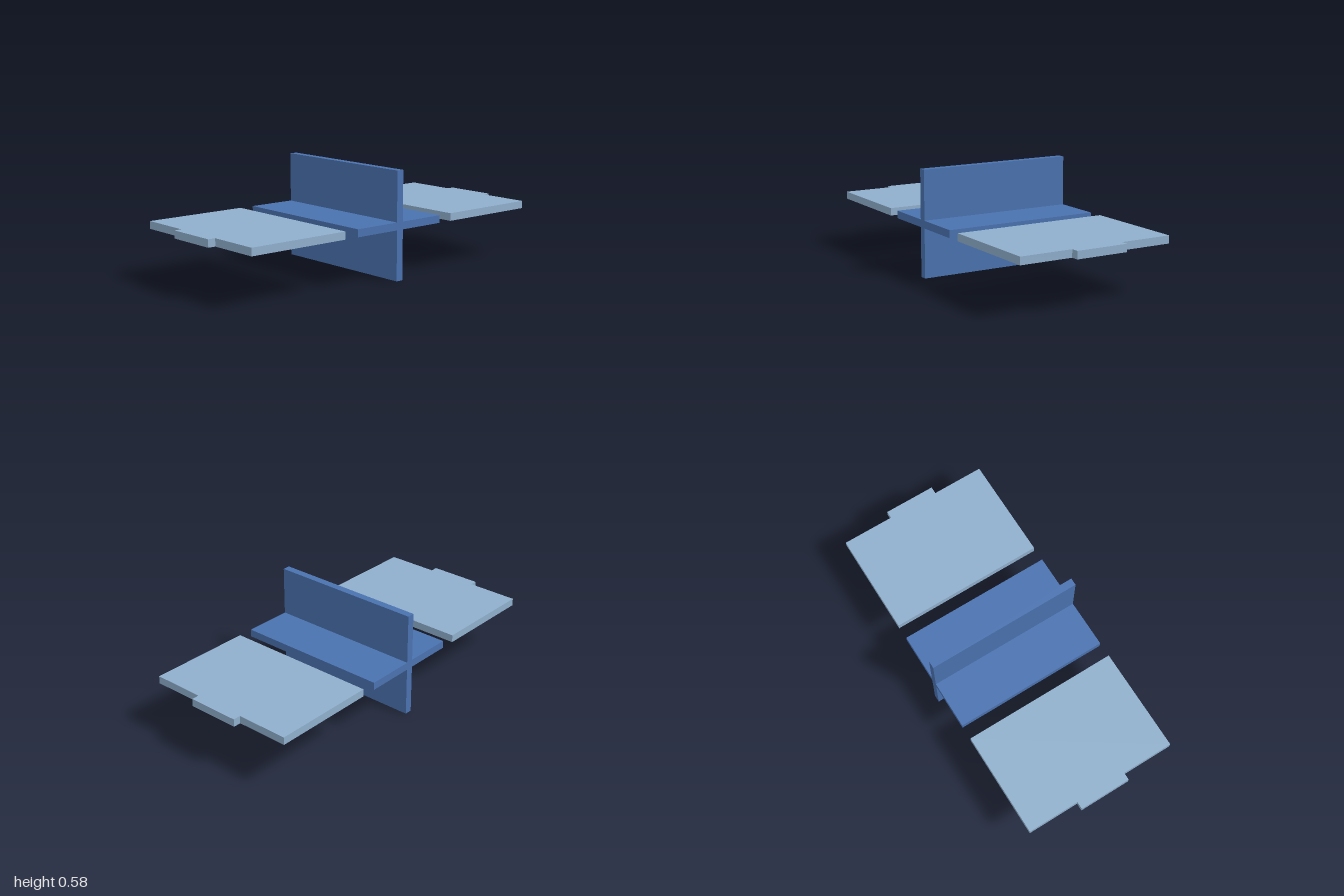
import * as THREE from 'three';

const U = 1 / 24;          // sheet thickness, the base unit
const HALF_W = 10.5 * U;   // half width along x
const MID_Y = 7 * U;       // height of the horizontal plane

const outline = (points) => new THREE.Shape(points.map(([x, y]) => new THREE.Vector2(x * U, y * U)));
const extrude = (shape, depth) =>
  new THREE.ExtrudeGeometry(shape, { depth, bevelEnabled: false }).translate(0, 0, -depth / 2);

export function createModel() {
  const model = new THREE.Group();
  const darkBlue = new THREE.MeshStandardMaterial({ color: 0x4a72b0 });
  const lightBlue = new THREE.MeshStandardMaterial({ color: 0x8fafcc });

  // Central cross: a plus-shaped section running along x
  const a = 0.5, b = 7;
  const plus = outline([
    [a, a], [a, b], [-a, b], [-a, a], [-b, a], [-b, -a],
    [-a, -a], [-a, -b], [a, -b], [a, -a], [b, -a], [b, a],
  ]);
  const cross = new THREE.Mesh(extrude(plus, 2 * HALF_W).rotateY(Math.PI / 2), darkBlue);
  cross.name = 'crossPanel';
  cross.position.y = MID_Y;
  model.add(cross);

  // Flat plates with an outward tab, one in front and one behind
  const plate = extrude(outline([
    [-10.5, 9], [10.5, 9], [10.5, 23], [3.5, 23],
    [3.5, 24], [-3.5, 24], [-3.5, 23], [-10.5, 23],
  ]), U).rotateX(Math.PI / 2);
  for (const [name, turn] of [['frontPlate', 0], ['backPlate', Math.PI]]) {
    const mesh = new THREE.Mesh(plate, lightBlue);
    mesh.name = name;
    mesh.position.y = MID_Y;
    mesh.rotation.y = turn;
    model.add(mesh);
  }
  return model;
}
